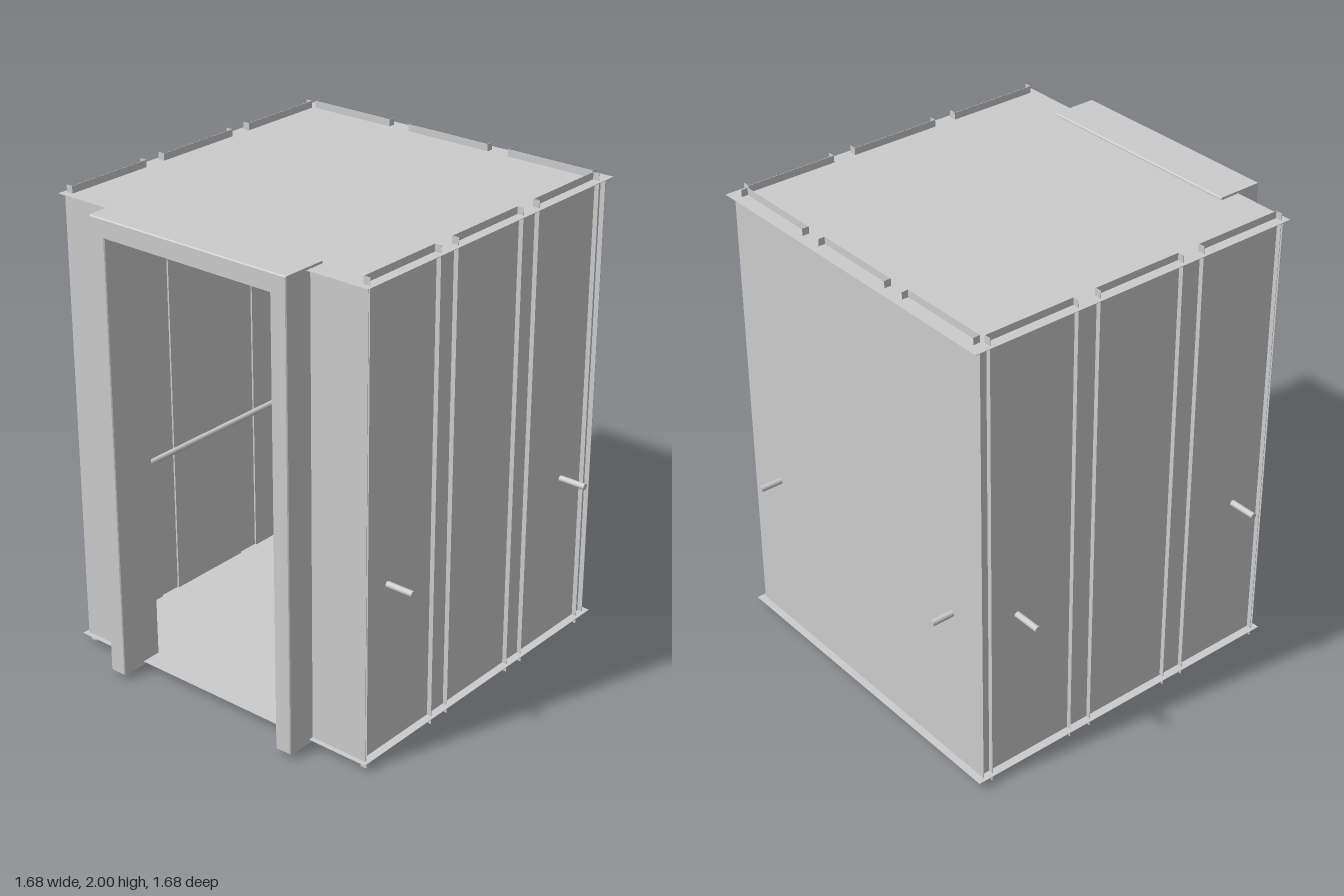
import * as THREE from 'three';

const sheetMat = new THREE.MeshStandardMaterial({ color: 0xcccccc, side: THREE.DoubleSide });
const T = 0.002; // sheet thickness

// Box given by its min and max corners
function box(parent, name, x0, x1, y0, y1, z0, z1) {
  const mesh = new THREE.Mesh(new THREE.BoxGeometry(x1 - x0, y1 - y0, z1 - z0), sheetMat);
  mesh.position.set((x0 + x1) / 2, (y0 + y1) / 2, (z0 + z1) / 2);
  mesh.name = name;
  parent.add(mesh);
  return mesh;
}

function rod(parent, name, from, to, radius) {
  const dir = to.clone().sub(from);
  const mesh = new THREE.Mesh(new THREE.CylinderGeometry(radius, radius, dir.length(), 20), sheetMat);
  mesh.position.copy(from).add(to).multiplyScalar(0.5);
  mesh.quaternion.setFromUnitVectors(new THREE.Vector3(0, 1, 0), dir.normalize());
  mesh.name = name;
  parent.add(mesh);
}

// Wall built facing local +z: three folded pans, a backing sheet and a handrail
function makeWall(name, sheetZ, sheetX0, sheetX1) {
  const wall = new THREE.Group();
  wall.name = name;

  for (const cx of [-0.5, 0, 0.5]) {
    const x0 = cx - 0.2, x1 = cx + 0.2;
    box(wall, 'wallPan', x0, x1, 0, 2, 0.71, 0.71 + T);
    // Folded edges pointing outwards
    box(wall, 'panReturn', x0, x0 + T, 0, 2, 0.71, 0.74);
    box(wall, 'panReturn', x1 - T, x1, 0, 2, 0.71, 0.74);
  }
  box(wall, 'backingSheet', sheetX0, sheetX1, 0.035, 1.97, sheetZ, sheetZ + T);

  // Handrail with end pegs passing through the wall
  const y = 0.735, z = 0.65, r = 0.013;
  rod(wall, 'handrail', new THREE.Vector3(-0.56, y, z), new THREE.Vector3(0.56, y, z), r);
  for (const x of [-0.56, 0.56]) {
    rod(wall, 'handrailPeg', new THREE.Vector3(x, y, z), new THREE.Vector3(x, y, 0.84), r);
    const elbow = new THREE.Mesh(new THREE.SphereGeometry(r, 16, 12), sheetMat);
    elbow.position.set(x, y, z);
    elbow.name = 'handrailElbow';
    wall.add(elbow);
  }
  return wall;
}

// Doorway surround: an upside-down U with slightly eased edges
function makeDoorFrame() {
  const b = 0.004;
  const outer = 0.48 - b, inner = 0.405 + b, y0 = 0.02 + b, y1 = 1.98 - b, lintel = 1.9 + b;
  const shape = new THREE.Shape([
    [-outer, y0], [-inner, y0], [-inner, lintel], [inner, lintel],
    [inner, y0], [outer, y0], [outer, y1], [-outer, y1],
  ].map(([x, y]) => new THREE.Vector2(x, y)));
  const geo = new THREE.ExtrudeGeometry(shape, {
    depth: 0.2 - 2 * b, bevelEnabled: true, bevelSize: b, bevelThickness: b, bevelSegments: 1,
  });
  geo.translate(0, 0, 0.64 + b);
  const frame = new THREE.Mesh(geo, sheetMat);
  frame.name = 'doorFrame';
  return frame;
}

export function createModel() {
  const cabin = new THREE.Group();
  cabin.name = 'liftCabin';

  // Floor and ceiling plates overhang the walls
  box(cabin, 'floor', -0.755, 0.755, 0.035, 0.035 + T, -0.775, 0.73);
  box(cabin, 'ceiling', -0.755, 0.755, 1.97 - T, 1.97, -0.775, 0.73);

  // Side walls and rear wall
  const leftWall = makeWall('leftWall', 0.718, -0.71, 0.74);
  leftWall.rotation.y = Math.PI / 2;
  const rightWall = makeWall('rightWall', 0.718, -0.74, 0.71);
  rightWall.rotation.y = -Math.PI / 2;
  const rearWall = makeWall('rearWall', 0.742, -0.74, 0.74);
  rearWall.rotation.y = Math.PI;
  cabin.add(leftWall, rightWall, rearWall);

  // Front panels either side of the doorway, and the strip above it
  box(cabin, 'frontPanelLeft', 0.42, 0.74, 0.035, 1.97, 0.71 - T, 0.71);
  box(cabin, 'frontPanelRight', -0.74, -0.42, 0.035, 1.97, 0.71 - T, 0.71);
  box(cabin, 'frontHeader', -0.42, 0.42, 1.91, 1.97, 0.71 - T, 0.71);

  cabin.add(makeDoorFrame());
  return cabin;
}
